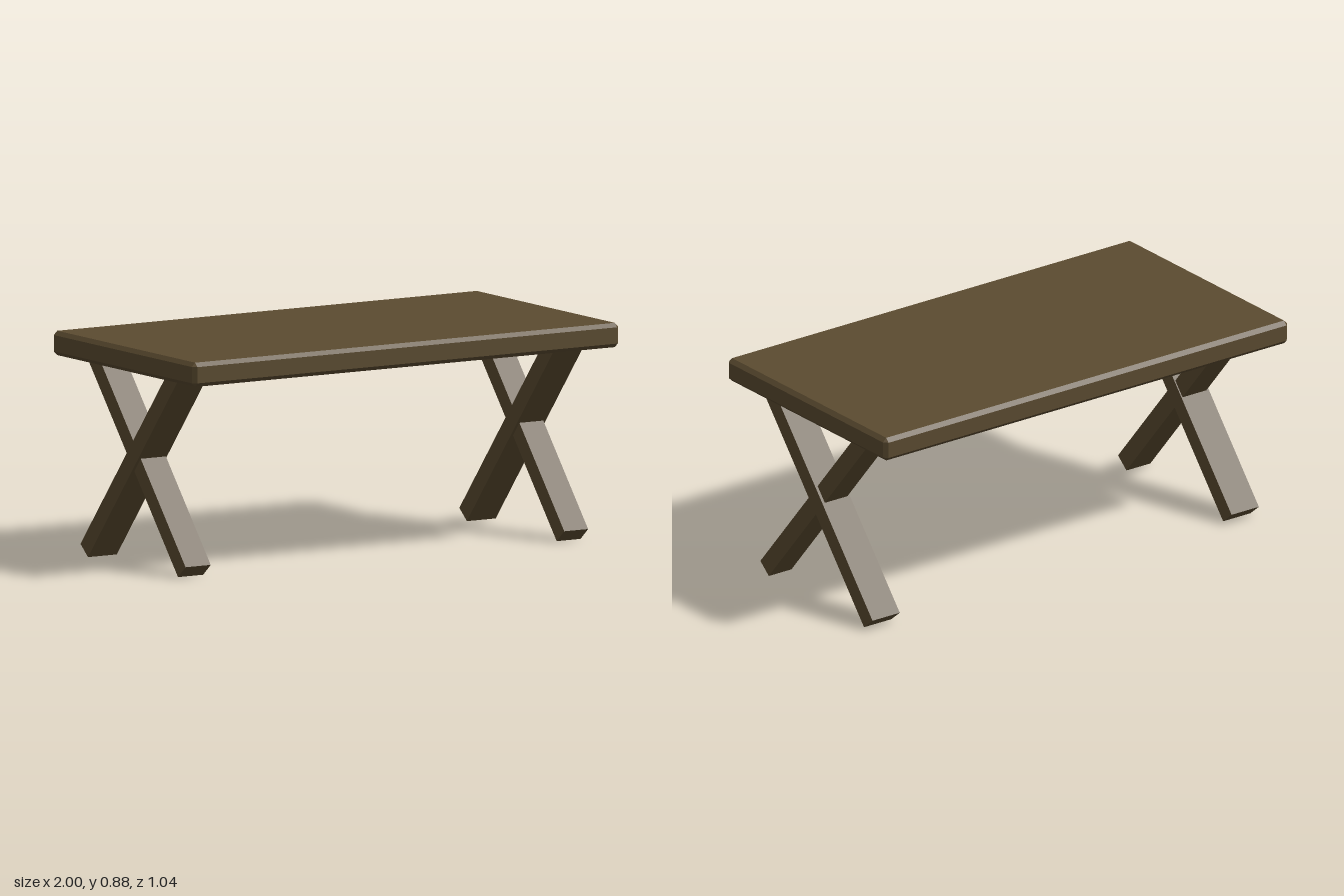
import * as THREE from 'three';
import { ConvexGeometry } from 'three/addons/geometries/ConvexGeometry.js';

const wood = new THREE.MeshStandardMaterial({ color: 0x5b4b30 });

// Box with every edge and corner cut by a flat chamfer
function chamferedBox(w, h, d, c) {
  const points = [];
  for (const sx of [-1, 1]) for (const sy of [-1, 1]) for (const sz of [-1, 1]) {
    const x = w / 2, y = h / 2, z = d / 2;
    points.push(
      new THREE.Vector3(sx * x, sy * (y - c), sz * (z - c)),
      new THREE.Vector3(sx * (x - c), sy * y, sz * (z - c)),
      new THREE.Vector3(sx * (x - c), sy * (y - c), sz * z)
    );
  }
  return new ConvexGeometry(points);
}

// Slanted beam between x0 and x1 whose foot stands on the given z side
function crossBeam(name, x0, x1, side) {
  const foot = new THREE.Vector3((x0 + x1) / 2, 0.0235, 0.3475 * side);
  const head = new THREE.Vector3((x0 + x1) / 2, 0.83, -0.328 * side);
  const beam = new THREE.Mesh(new THREE.BoxGeometry(x1 - x0, foot.distanceTo(head), 0.072), wood);
  beam.name = name;
  beam.position.copy(foot).add(head).multiplyScalar(0.5);
  beam.rotation.x = Math.atan2(head.z - foot.z, head.y - foot.y);
  return beam;
}

export function createModel() {
  const table = new THREE.Group();
  table.name = 'table';

  // Thick chamfered slab
  const top = new THREE.Mesh(chamferedBox(2, 0.097, 1.042, 0.016), wood);
  top.name = 'tabletop';
  top.position.y = 0.8345;
  table.add(top);

  // Crossed legs at both ends; the front-footed beam is slightly narrower
  const ends = [
    { name: 'rightLegs', wide: [-0.958, -0.823], narrow: [-0.946, -0.828] },
    { name: 'leftLegs', wide: [0.819, 0.954], narrow: [0.83, 0.942] },
  ];
  for (const { name, wide, narrow } of ends) {
    const legs = new THREE.Group();
    legs.name = name;
    legs.add(crossBeam('backFootBeam', ...wide, -1), crossBeam('frontFootBeam', ...narrow, 1));
    table.add(legs);
  }
  return table;
}
